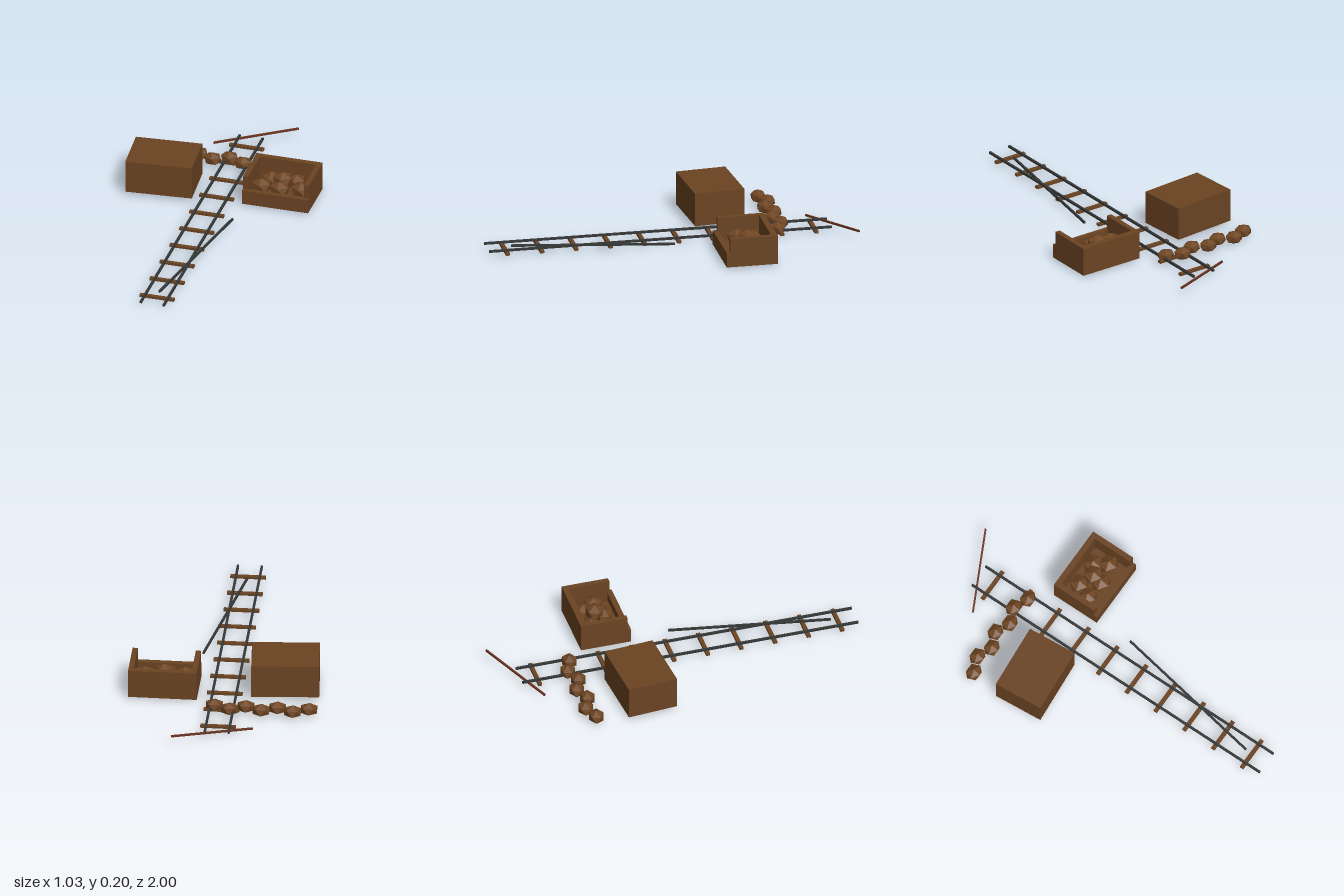
import * as THREE from 'three';

const mat = (name, color) => {
  const m = new THREE.MeshStandardMaterial({ color });
  m.name = name;
  return m;
};

export function createModel() {
  const wood = mat('brown wood', 0x6b4423);
  const ore = mat('brown rock', 0x6e4522);
  ore.flatShading = true;
  const iron = mat('dark iron', 0x353836);
  const rust = mat('reddish wood', 0x6b3420);
  const model = new THREE.Group();
  model.name = 'mineTrackScene';

  const group = (name) => {
    const g = new THREE.Group();
    g.name = name;
    model.add(g);
    return g;
  };

  // Box given by its lower and upper corners
  const box = (parent, name, material, a, b) => {
    const size = b.map((v, i) => v - a[i]);
    const mesh = new THREE.Mesh(new THREE.BoxGeometry(...size), material);
    mesh.position.set(...a.map((v, i) => (v + b[i]) / 2));
    mesh.name = name;
    parent.add(mesh);
    return mesh;
  };

  // Square bar between two points
  const bar = (parent, name, material, from, to, thick) => {
    const a = new THREE.Vector3(...from), b = new THREE.Vector3(...to);
    const mesh = new THREE.Mesh(new THREE.BoxGeometry(thick, thick, a.distanceTo(b)), material);
    mesh.position.copy(a).lerp(b, 0.5);
    mesh.lookAt(b);
    mesh.name = name;
    parent.add(mesh);
  };

  // Low-poly rock with one point straight up
  const rockShape = new THREE.IcosahedronGeometry(1, 0);
  rockShape.rotateX(-Math.atan((1 + Math.sqrt(5)) / 2));
  const rock = (parent, name, x, y, z, rx, ry, rz) => {
    const mesh = new THREE.Mesh(rockShape, ore);
    mesh.position.set(x, y, z);
    mesh.scale.set(rx, ry, rz);
    mesh.name = name;
    parent.add(mesh);
  };

  // Track: cross ties and two rails
  const track = group('track');
  for (let i = 0; i < 10; i++) {
    const z = -0.79 + i * 0.188;
    box(track, 'tie', wood, [-0.096, 0.011, z - 0.011], [0.096, 0.025, z + 0.011]);
  }
  for (const x of [-0.064, 0.064])
    box(track, 'rail', iron, [x - 0.006, 0.025, -0.88], [x + 0.006, 0.037, 1]);

  // Loose rail across the track and a tilted pole at the far end
  bar(model, 'looseRail', iron, [0.155, 0.032, 0], [0, 0.032, 0.865], 0.011);
  bar(model, 'fallenPole', rust, [-0.185, 0.015, -0.79], [0.232, 0.057, -0.996], 0.01);

  // Zigzag row of rocks
  const row = group('rockRow');
  for (let i = 0; i < 7; i++)
    rock(row, 'rowRock', -0.47 + i * 0.085, 0.0375, i % 2 ? -0.622 : -0.587, 0.0525, 0.0375, 0.045);

  // Closed chest, slightly turned
  const chest = box(model, 'chest', wood, [-0.4985, 0.02, -0.431], [-0.1335, 0.205, -0.155]);
  chest.rotation.y = 0.08;

  // Open crate with a low front
  const crate = group('crate');
  box(crate, 'crateFloor', wood, [0.145, 0.01, -0.49], [0.515, 0.04, -0.21]);
  box(crate, 'crateFront', wood, [0.145, 0.04, -0.24], [0.515, 0.09, -0.21]);
  box(crate, 'crateBack', wood, [0.174, 0.04, -0.49], [0.486, 0.17, -0.457]);
  for (const x of [0.145, 0.486]) {
    box(crate, 'crateSide', wood, [x, 0.04, -0.49], [x + 0.029, 0.17, -0.24]);
    box(crate, 'crateSideEnd', wood, [x, 0.09, -0.24], [x + 0.029, 0.17, -0.23]);
  }

  // Rocks piled in the crate
  const pile = [
    [0.255, 0.08, -0.4], [0.39, 0.08, -0.405], [0.222, 0.075, -0.323],
    [0.438, 0.075, -0.335], [0.327, 0.078, -0.31], [0.33, 0.11, -0.36],
  ];
  for (const p of pile) rock(crate, 'crateRock', ...p, 0.06, 0.042, 0.055);

  return model;
}
